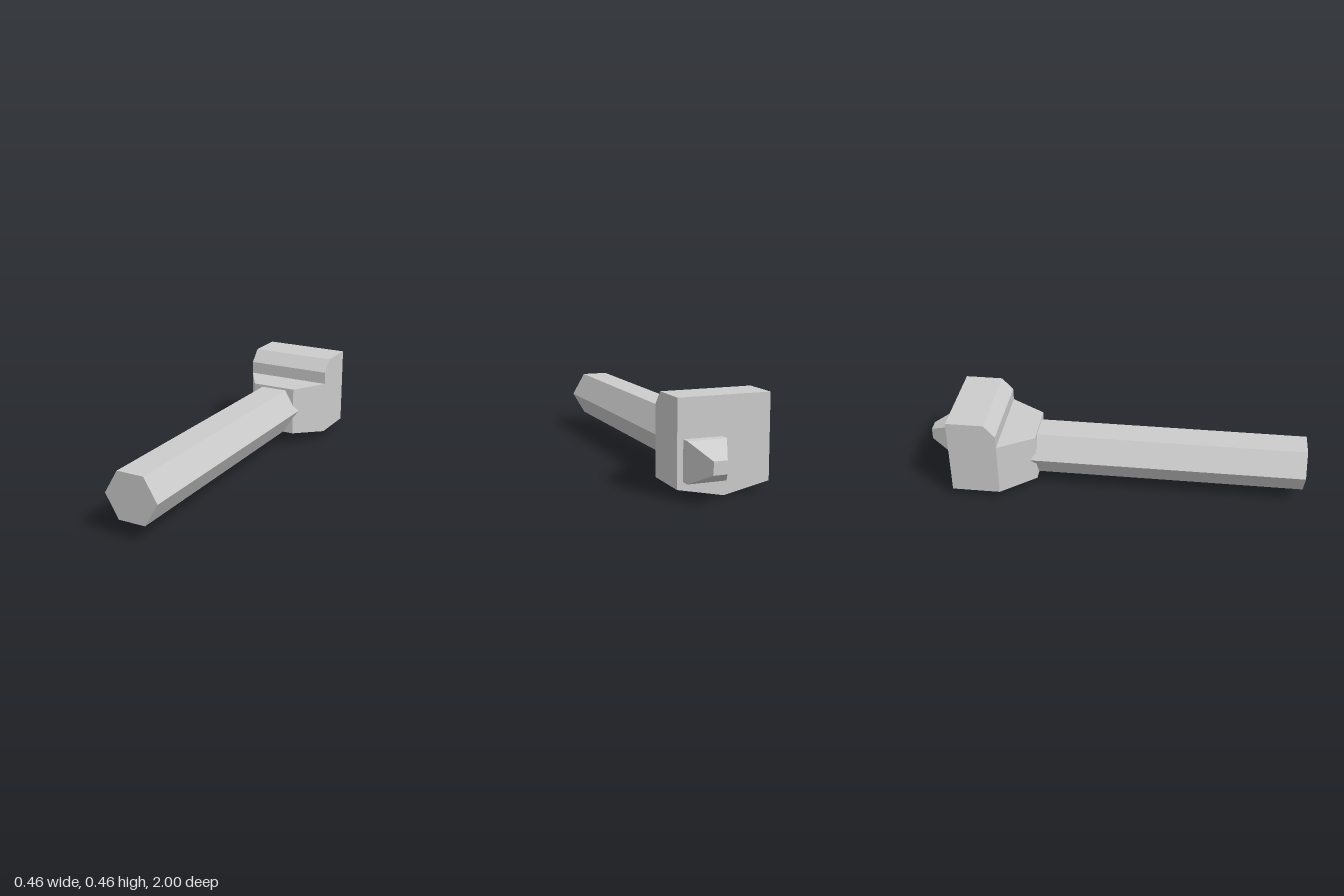
import * as THREE from 'three';

// Skins a row of cross-sections, front to back; loops run counter-clockwise seen from +z.
function loft(sections) {
  const pos = [];
  const tri = (a, b, c) => pos.push(...a, ...b, ...c);
  const rings = sections.map(([z, pts]) => pts.map(([x, y]) => [x, y, z]));
  const n = rings[0].length;
  for (let s = 0; s < rings.length - 1; s++) {
    const a = rings[s], b = rings[s + 1];
    for (let i = 0; i < n; i++) {
      const j = (i + 1) % n;
      // mirrored diagonals keep the two halves symmetric
      if (b[i][0] + b[j][0] > 0) {
        tri(a[i], b[i], a[j]);
        tri(a[j], b[i], b[j]);
      } else {
        tri(a[i], b[i], b[j]);
        tri(a[i], b[j], a[j]);
      }
    }
  }
  const front = rings[0], back = rings[rings.length - 1];
  for (let i = 1; i < n - 1; i++) {
    tri(front[0], front[i], front[i + 1]);
    tri(back[0], back[i + 1], back[i]);
  }
  const geo = new THREE.BufferGeometry();
  geo.setAttribute('position', new THREE.Float32BufferAttribute(pos, 3));
  geo.computeVertexNormals();
  return geo;
}

// Five-sided head section with a pointed underside
const house = (w, keel, side, top) => [[0, keel], [w, side], [w, top], [-w, top], [-w, side]];

const rect = (x0, x1, y0, y1) => [[x0, y0], [x1, y0], [x1, y1], [x0, y1]];

export function createModel() {
  const group = new THREE.Group();
  const grey = new THREE.MeshStandardMaterial({ color: 0xcccccc });
  grey.name = 'light grey';

  const add = (name, geo) => {
    const mesh = new THREE.Mesh(geo, grey);
    mesh.name = name;
    group.add(mesh);
  };

  // Hexagonal shaft, running into the head
  const hex = Array.from({ length: 6 }, (_, i) => {
    const t = (i * Math.PI) / 3;
    return [0.14 * Math.cos(t), 0.2 + 0.137 * Math.sin(t)];
  });
  add('shaft', loft([[1, hex], [-0.48, hex]]));

  // Head: tapered collar, step, chamfered top and block
  add('head', loft([
    [-0.388, house(0.12, 0.073, 0.073, 0.33)],
    [-0.57, house(0.229, 0, 0.047, 0.33)],
    [-0.57, house(0.229, 0, 0.047, 0.395)],
    [-0.626, house(0.229, 0, 0.047, 0.459)],
    [-0.82, house(0.229, 0, 0.047, 0.459)],
  ]));

  // Off-centre nub with a tapered tip
  add('nub', loft([
    [-0.8, rect(0.01, 0.2, 0.08, 0.273)],
    [-0.865, rect(0.01, 0.2, 0.08, 0.273)],
    [-1, rect(0.072, 0.138, 0.145, 0.207)],
  ]));

  return group;
}
